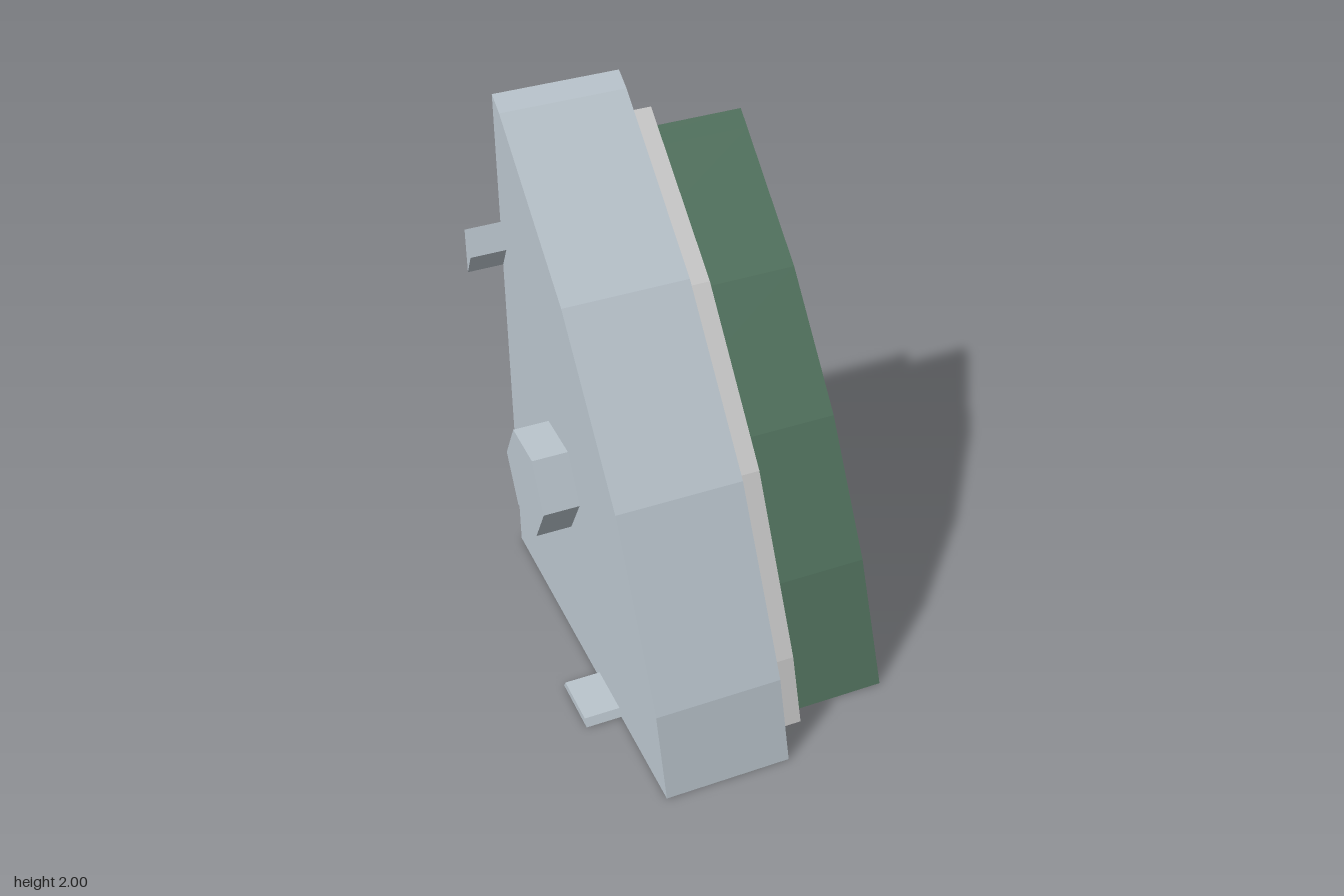
import * as THREE from 'three';

const paint = (color) => new THREE.MeshStandardMaterial({ color, flatShading: true, side: THREE.DoubleSide });
const steel = paint(0xbac5cd), grey = paint(0xcccccc), green = paint(0x52735f);

// Sheet that sweeps a [z, y] profile from x0 to x1, with flat walls at the listed x positions
function shell(name, profile, x0, x1, walls, material) {
  const group = new THREE.Group();
  group.name = name;
  const sheet = new THREE.PlaneGeometry(1, 1, 1, profile.length - 1);
  const pos = sheet.attributes.position;
  for (let i = 0; i < pos.count; i++) {
    const [z, y] = profile[Math.floor(i / 2)];
    pos.setXYZ(i, i % 2 ? x1 : x0, y, z);
  }
  const flat = sheet.toNonIndexed();
  flat.computeVertexNormals();
  const skin = new THREE.Mesh(flat, material);
  skin.name = name + 'Skin';
  group.add(skin);

  const outline = profile.map(([z, y]) => new THREE.Vector2(-z, y));
  for (const { x, corner } of walls) {
    const pts = corner ? [...outline, new THREE.Vector2(-corner[0], corner[1])] : outline;
    const wall = new THREE.Mesh(new THREE.ShapeGeometry(new THREE.Shape(pts)), material);
    wall.geometry.rotateY(Math.PI / 2);
    wall.position.x = x;
    wall.name = name + 'Wall';
    group.add(wall);
  }
  return group;
}

export function createModel() {
  const model = new THREE.Group();
  model.name = 'steppedArcSection';
  const back = -0.76;
  const corner = [back, 0];

  // Wide outer rim
  model.add(shell('outerRim',
    [[back, 2], [-0.69, 1.96], [-0.13, 1.5], [0.33, 0.95], [0.67, 0.31], [0.76, 0]],
    -0.405, 0.065, [{ x: -0.405, corner }, { x: 0.065, corner }], steel));

  // Narrow middle step
  model.add(shell('middleStep',
    [[back, 1.83], [-0.23, 1.4], [0.21, 0.87], [0.53, 0.25], [0.61, 0]],
    0.065, 0.185, [{ x: 0.065, corner }, { x: 0.185, corner }], grey));

  // Green inner drum, open on the left and walled inside the rim
  model.add(shell('innerDrum',
    [[back, 1.75], [-0.7, 1.7], [-0.28, 1.345], [0.08, 0.92], [0.36, 0.455], [0.55, 0]],
    -0.33, 0.54, [{ x: -0.33, corner }], green));

  // Hexagonal bars through all walls; two are cut by the section planes
  const hexagon = [];
  for (let i = 0; i <= 6; i++) {
    const a = (i * Math.PI) / 3;
    hexagon.push([-0.23 - 0.2 * Math.cos(a), 0.72 + 0.2 * Math.sin(a) * 0.995]);
  }
  const bars = {
    middleBar: hexagon,
    upperBar: [[back, 1.49], [-0.71, 1.4], [back, 1.31]],
    lowerBar: [[0.098, 0], [0.115, 0.03], [0.315, 0.03], [0.332, 0]],
  };
  for (const [name, profile] of Object.entries(bars)) {
    model.add(shell(name, profile, -0.54, 0.4, [{ x: -0.54 }, { x: 0.4 }], steel));
  }
  return model;
}
